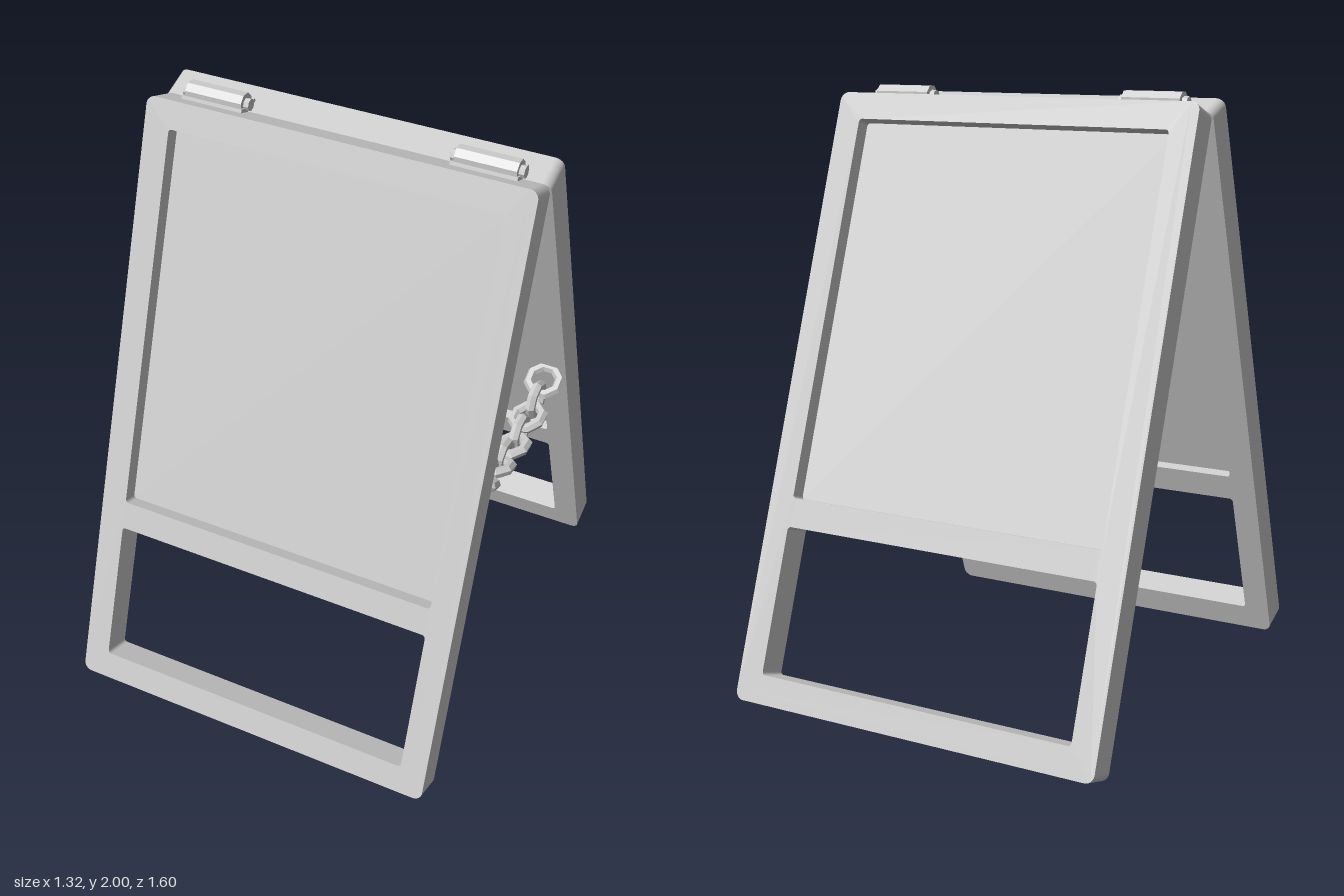
import * as THREE from 'three';

const material = new THREE.MeshStandardMaterial({ color: 0xcccccc });
const flatMaterial = new THREE.MeshStandardMaterial({ color: 0xcccccc, flatShading: true });

const HEIGHT = 2.062, WIDTH = 1.31, DEPTH = 0.106;
const FOOT = 0.70;                      // inner foot distance from the centre
const LEAN = Math.asin(FOOT / HEIGHT);  // lean of each panel
const CENTRE_X = -0.006;

function add(parent, name, geometry, mat = material) {
  const mesh = new THREE.Mesh(geometry, mat);
  mesh.name = name;
  parent.add(mesh);
  return mesh;
}

// Rounded rectangle drawn into a Shape or Path
function roundedRect(path, x0, y0, x1, y1, r) {
  path.moveTo(x0 + r, y0);
  path.lineTo(x1 - r, y0);
  path.absarc(x1 - r, y0 + r, r, -Math.PI / 2, 0);
  path.lineTo(x1, y1 - r);
  path.absarc(x1 - r, y1 - r, r, 0, Math.PI / 2);
  path.lineTo(x0 + r, y1);
  path.absarc(x0 + r, y1 - r, r, Math.PI / 2, Math.PI);
  path.lineTo(x0, y0 + r);
  path.absarc(x0 + r, y0 + r, r, Math.PI, Math.PI * 1.5);
  return path;
}

// One leaning panel: frame with two openings, the upper one filled by a board
function createPanel(name) {
  const panel = new THREE.Group();
  panel.name = name;
  const half = WIDTH / 2, inner = 0.566;
  const shape = roundedRect(new THREE.Shape(), -half, 0, half, HEIGHT, 0.03);
  shape.holes.push(roundedRect(new THREE.Path(), -inner, 0.095, inner, 0.584, 0.012));
  shape.holes.push(roundedRect(new THREE.Path(), -inner, 0.68, inner, 1.971, 0.012));
  add(panel, 'frame', new THREE.ExtrudeGeometry(shape, { depth: DEPTH, bevelEnabled: false, curveSegments: 5 }));

  const board = add(panel, 'board', new THREE.BoxGeometry(2 * inner + 0.02, 1.311, 0.02));
  board.position.set(0, 1.3255, 0.043);

  panel.position.z = FOOT;
  panel.rotation.x = -LEAN;
  return panel;
}

// Barrel, pin and two leaves lying on the panel tops
function createHinge(x) {
  const hinge = new THREE.Group();
  hinge.name = 'hinge';
  hinge.position.set(x, 1.965, 0);
  const barrel = add(hinge, 'hingeBarrel', new THREE.CylinderGeometry(0.036, 0.036, 0.2, 8), flatMaterial);
  barrel.rotation.set(Math.PI / 8, 0, Math.PI / 2);
  const pin = add(hinge, 'hingePin', new THREE.CylinderGeometry(0.02, 0.02, 0.235, 8), flatMaterial);
  pin.rotation.z = Math.PI / 2;
  for (const side of [1, -1]) {
    const leaf = add(hinge, 'hingeLeaf', new THREE.BoxGeometry(0.215, 0.016, 0.044));
    leaf.position.set(0, -0.013, side * 0.024);
    leaf.rotation.x = -side * LEAN;
  }
  return hinge;
}

// Sagging chain of alternating links between the two frames
function createChain() {
  const chain = new THREE.Group();
  chain.name = 'chain';
  const linkGeometry = new THREE.TorusGeometry(0.053, 0.0175, 6, 8);
  linkGeometry.rotateZ(Math.PI / 8);
  for (let i = -4; i <= 4; i++) {
    const z = i * 0.0715;
    const link = new THREE.Group();
    link.name = 'chainLink';
    link.position.set(0.59, 0.93 + 0.9 * z * z, z);
    link.rotation.x = -Math.atan(1.8 * z);
    const ring = add(link, 'linkRing', linkGeometry, flatMaterial);
    if (i % 2 === 0) {
      ring.rotation.x = Math.PI / 2;
      link.rotation.z = Math.abs(i) === 4 ? 0 : 0.3;
    } else {
      ring.rotation.y = Math.PI / 2;
    }
    chain.add(link);
  }
  return chain;
}

export function createModel() {
  const model = new THREE.Group();
  model.name = 'foldingSignBoard';

  const front = new THREE.Group();
  front.name = 'frontSide';
  front.position.x = CENTRE_X;
  front.add(createPanel('frontPanel'));
  const back = new THREE.Group();
  back.name = 'backSide';
  back.position.x = CENTRE_X;
  back.rotation.y = Math.PI;
  back.add(createPanel('backPanel'));
  model.add(front, back);

  for (const side of [1, -1]) model.add(createHinge(CENTRE_X + side * 0.458));
  model.add(createChain());
  return model;
}
